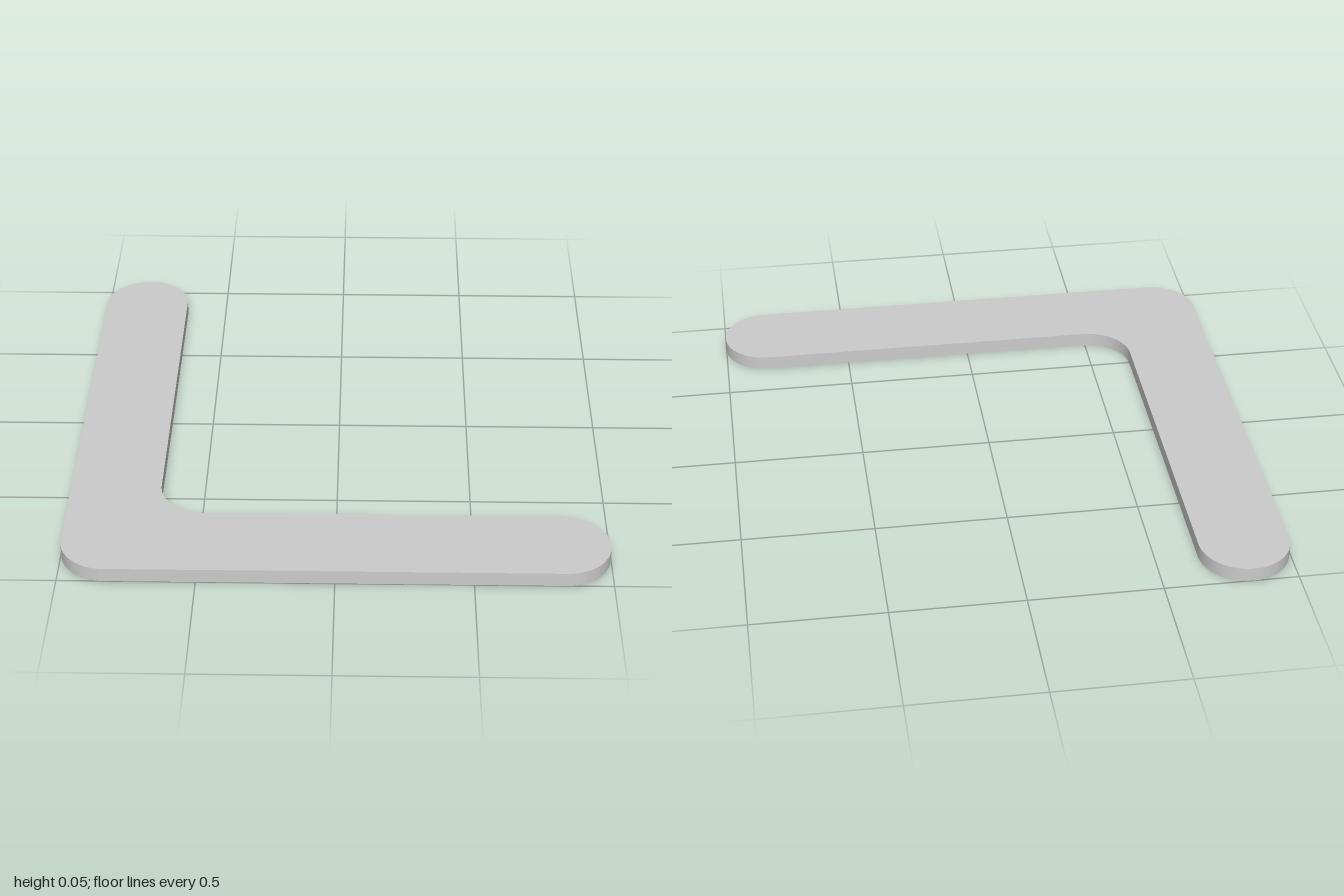
import * as THREE from 'three';
import { toCreasedNormals } from 'three/addons/utils/BufferGeometryUtils.js';

const RADIUS = 0.17;      // half the arm width, also the corner radii
const THICKNESS = 0.055;

export function createModel() {
  const group = new THREE.Group();
  group.name = 'cornerBracket';

  const end = 1 - RADIUS;         // centre of the rounded ends and outer corner
  const inner = 1 - 3 * RADIUS;   // centre of the inside fillet
  const { PI } = Math;

  // L outline, counter-clockwise; absarc adds the straight edges between arcs
  const outline = new THREE.Shape();
  outline.moveTo(-end, -1);
  outline.absarc(end, -end, RADIUS, -PI / 2, PI / 2, false);        // front arm end
  outline.absarc(-inner, -inner, RADIUS, -PI / 2, -PI, true);       // inside fillet
  outline.absarc(-end, end, RADIUS, 0, PI, false);                  // side arm end
  outline.absarc(-end, -end, RADIUS, PI, PI * 1.5, false);          // outer corner

  // Flat plate lying on the ground
  const plate = new THREE.ExtrudeGeometry(outline, {
    depth: THICKNESS, bevelEnabled: false, curveSegments: 32,
  });
  plate.rotateX(-PI / 2);

  const mesh = new THREE.Mesh(
    toCreasedNormals(plate, 0.6),
    new THREE.MeshStandardMaterial({ color: 0xcccccc }),
  );
  mesh.name = 'angledPlate';
  group.add(mesh);
  return group;
}
